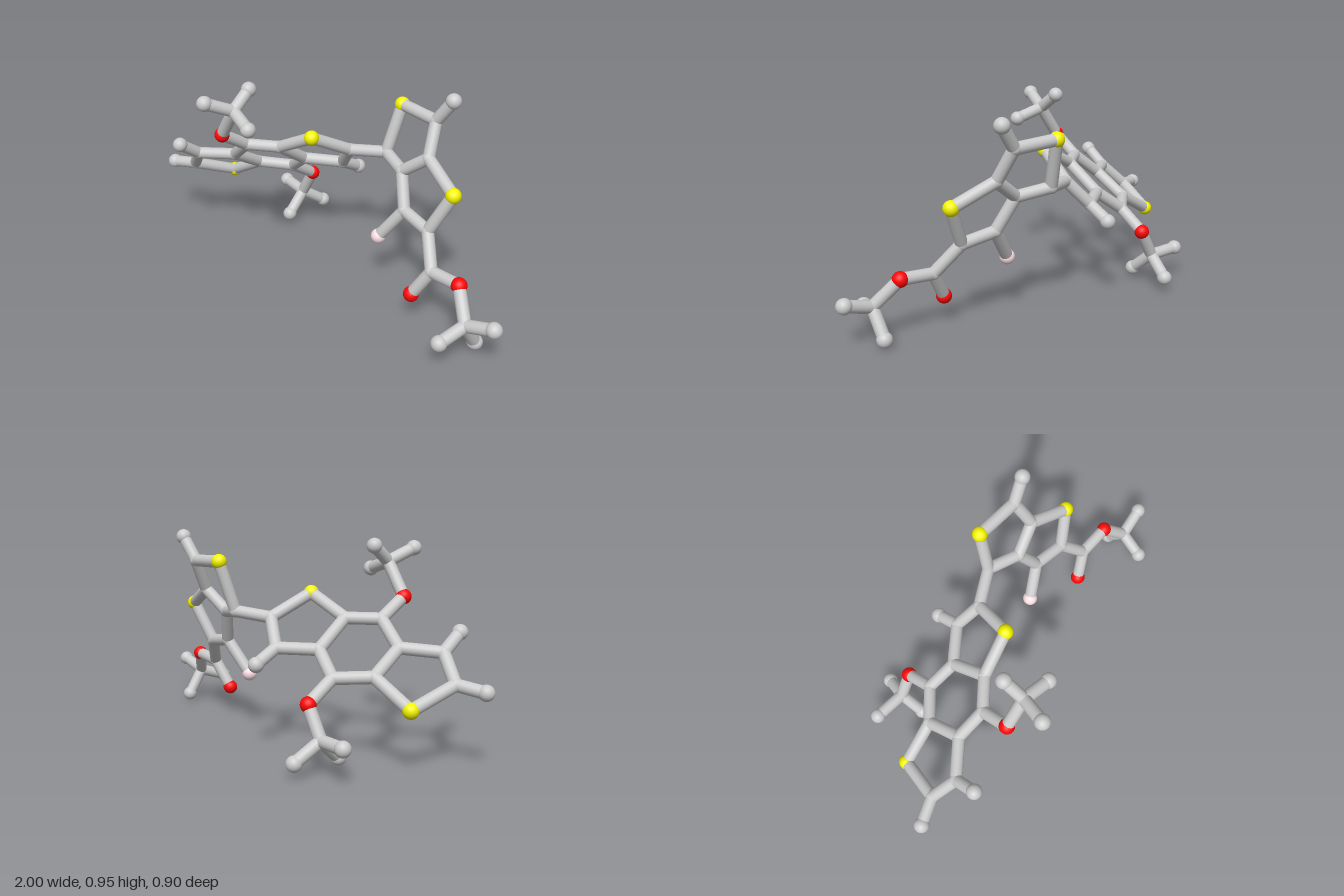
import * as THREE from 'three';

const BOND_R = 0.028, JOINT_R = 0.03, BALL_R = 0.035;

// Colours of the ball kinds
const COLORS = { end: 0xcccccc, joint: 0xcccccc, yellow: 0xf5f500, red: 0xff0808, pink: 0xffe0e6 };

// Ball positions, grouped by kind
const BALLS = {
  joint: {
    // three fused rings on the right-hand side
    a: [-0.84, 0.365, 0.125], b: [-0.735, 0.475, 0.19], c: [-0.57, 0.485, 0.10], d: [-0.57, 0.385, -0.065],
    e: [-0.44, 0.59, 0.145], f: [-0.30, 0.588, 0.065], g: [-0.30, 0.47, -0.105], h: [-0.425, 0.373, -0.16],
    i: [-0.035, 0.583, -0.13], j: [-0.13, 0.467, -0.195],
    // two fused rings on the left-hand side
    k: [0.135, 0.60, -0.188], l: [0.385, 0.815, -0.205], m: [0.408, 0.67, -0.125], n: [0.278, 0.575, -0.113],
    o: [0.50, 0.395, -0.005], p: [0.342, 0.422, -0.05],
    // branch centres
    upperHub: [-0.355, 0.825, 0.295], lowerHub: [-0.49, 0.148, -0.303],
    armJoint: [0.585, 0.265, 0.083], armHub: [0.83, 0.16, 0.193],
  },
  yellow: {
    s1: [-0.763, 0.28, -0.073], s2: [-0.108, 0.683, 0.055], s3: [0.173, 0.825, -0.25], s4: [0.592, 0.58, -0.045],
  },
  red: {
    upperRed: [-0.458, 0.677, 0.278], lowerRed: [-0.413, 0.284, -0.295],
    armRedA: [0.505, 0.132, 0.11], armRedB: [0.742, 0.277, 0.113],
  },
  pink: { pinkEnd: [0.23, 0.267, -0.013] },
  end: {
    endA: [-0.967, 0.348, 0.152], endB: [-0.745, 0.55, 0.293], endJ: [-0.12, 0.407, -0.307], endL: [0.463, 0.922, -0.212],
    upper1: [-0.41, 0.882, 0.413], upper2: [-0.352, 0.9, 0.198], upper3: [-0.225, 0.783, 0.337],
    lower1: [-0.638, 0.155, -0.34], lower2: [-0.49, 0.055, -0.195], lower3: [-0.445, 0.068, -0.413],
    arm1: [0.965, 0.204, 0.2], arm2: [0.785, 0.12, 0.313], arm3: [0.837, 0.038, 0.114],
  },
};

// Chains of balls joined by rods
const CHAINS = {
  rightRings: ['s1 a b c d s1', 'c e f g h d', 'f s2 i j g'],
  linkRod: ['i k'],
  leftRings: ['k s3 l m n k', 'm s4 o p n'],
  sideRods: ['a endA', 'b endB', 'j endJ', 'l endL', 'p pinkEnd'],
  upperBranch: ['e upperRed upperHub upper1', 'upper2 upperHub upper3'],
  lowerBranch: ['h lowerRed lowerHub lower1', 'lower2 lowerHub lower3'],
  armBranch: ['o armJoint armRedA', 'armJoint armRedB armHub arm1', 'arm2 armHub arm3'],
};

const UP = new THREE.Vector3(0, 1, 0);

function makeRod(from, to, material) {
  const dir = to.clone().sub(from);
  const rod = new THREE.Mesh(new THREE.CylinderGeometry(BOND_R, BOND_R, dir.length(), 20, 1, true), material);
  rod.position.copy(from).add(to).multiplyScalar(0.5);
  rod.quaternion.setFromUnitVectors(UP, dir.normalize());
  rod.name = 'rod';
  return rod;
}

export function createModel() {
  const model = new THREE.Group();
  model.name = 'ballAndStickModel';
  const points = {};

  // Balls and rod joints
  for (const [kind, list] of Object.entries(BALLS)) {
    const group = new THREE.Group();
    group.name = kind + 'Balls';
    const geometry = new THREE.SphereGeometry(kind === 'joint' ? JOINT_R : BALL_R, 24, 16);
    const material = new THREE.MeshStandardMaterial({ color: COLORS[kind] });
    for (const [key, xyz] of Object.entries(list)) {
      points[key] = new THREE.Vector3(...xyz);
      const ball = new THREE.Mesh(geometry, material);
      ball.position.copy(points[key]);
      ball.name = kind + 'Ball';
      group.add(ball);
    }
    model.add(group);
  }

  // Rods
  const grey = new THREE.MeshStandardMaterial({ color: 0xcccccc });
  for (const [name, chains] of Object.entries(CHAINS)) {
    const group = new THREE.Group();
    group.name = name;
    for (const chain of chains) {
      const keys = chain.split(' ');
      for (let i = 1; i < keys.length; i++) group.add(makeRod(points[keys[i - 1]], points[keys[i]], grey));
    }
    model.add(group);
  }
  return model;
}
